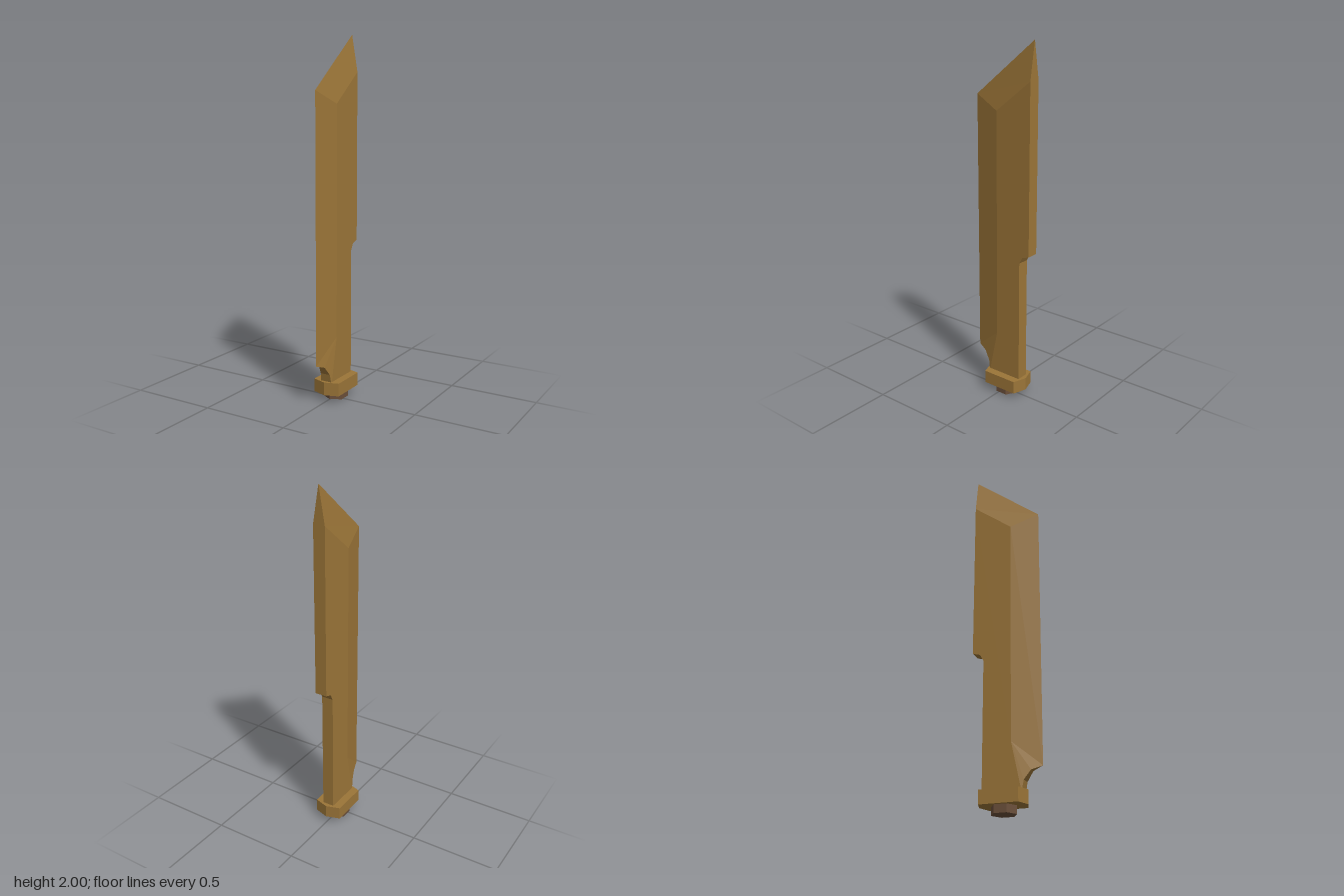
import * as THREE from 'three';

const W = 0.034; // half thickness of the blade

// Blade: flat cheeks, bevels to the edge, and a strip closing back, notches and base
function bladeGeometry() {
  const pos = [];
  const tri = (a, b, c) => pos.push(...a, ...b, ...c);
  const p = (z, y, x = W) => [x, y, z];
  const flip = ([x, y, z]) => [-x, y, z];

  const tip = p(-0.187, 2, 0), edgeTop = p(0.187, 1.7, 0), edgeLow = p(0.187, 0.23, 0);
  const ridgeBack = p(-0.187, 1.8), ridgeTop = p(0.03, 1.63), ridgeLow = p(0.03, 0.36);
  const back = [p(-0.187, 0.87), p(-0.145, 0.857), p(-0.125, 0.82), p(-0.125, 0.1)];
  const heel = p(0.085, 0.1);
  const cut = [p(0.095, 0.16, 0.029), p(0.13, 0.21, 0.018)];

  // each panel is drawn on +x and mirrored to -x
  const panel = (pts) => {
    const flat = pts.map(([, y, z]) => new THREE.Vector2(-z, y));
    for (const f of THREE.ShapeUtils.triangulateShape(flat, [])) {
      let [a, b, c] = f.map((i) => pts[i]);
      const area = (b[1] - a[1]) * (c[2] - a[2]) - (b[2] - a[2]) * (c[1] - a[1]);
      if (area < 0) [b, c] = [c, b];
      tri(a, b, c);
      tri(flip(a), flip(c), flip(b));
    }
  };
  panel([ridgeBack, ridgeTop, ridgeLow, heel, ...[...back].reverse()]);
  panel([ridgeTop, edgeTop, edgeLow, ridgeLow]);
  panel([ridgeBack, tip, edgeTop, ridgeTop]);
  panel([ridgeLow, edgeLow, cut[1], cut[0], heel]);

  // strip across the thickness
  const rim = [tip, ridgeBack, ...back, heel, ...cut, edgeLow];
  for (let i = 0; i < rim.length - 1; i++) {
    const a = rim[i], b = rim[i + 1];
    if (b[0] > 0) tri(a, b, flip(b));
    if (a[0] > 0) tri(a, flip(b), flip(a));
    else if (b[0] === 0) tri(a, b, flip(b));
  }
  const g = new THREE.BufferGeometry();
  g.setAttribute('position', new THREE.Float32BufferAttribute(pos, 3));
  g.computeVertexNormals();
  return g;
}

export function createModel() {
  const group = new THREE.Group();
  const bronze = new THREE.MeshStandardMaterial({ color: 0x9b7538 });
  bronze.name = 'bronze';
  const darkBrown = new THREE.MeshStandardMaterial({ color: 0x6b4f3a });
  darkBrown.name = 'dark brown';
  const add = (name, geometry, material) => {
    const mesh = new THREE.Mesh(geometry, material);
    mesh.name = name;
    group.add(mesh);
    return mesh;
  };

  add('blade', bladeGeometry(), bronze);

  // Six-sided guard, laid flat
  const plan = [[0, 0.15], [-0.079, 0.125], [-0.079, -0.083], [0, -0.109], [0.079, -0.083], [0.079, 0.125]];
  const guard = new THREE.ExtrudeGeometry(
    new THREE.Shape(plan.map(([x, y]) => new THREE.Vector2(x, y))),
    { depth: 0.073, bevelEnabled: false });
  guard.rotateX(-Math.PI / 2).translate(0, 0.043, 0);
  add('guard', guard, bronze);

  // Hexagonal stub below the guard
  const stub = new THREE.CylinderGeometry(0.068, 0.068, 0.045, 6).toNonIndexed();
  stub.computeVertexNormals();
  add('stub', stub, darkBrown).position.set(0, 0.0225, -0.018);

  return group;
}
